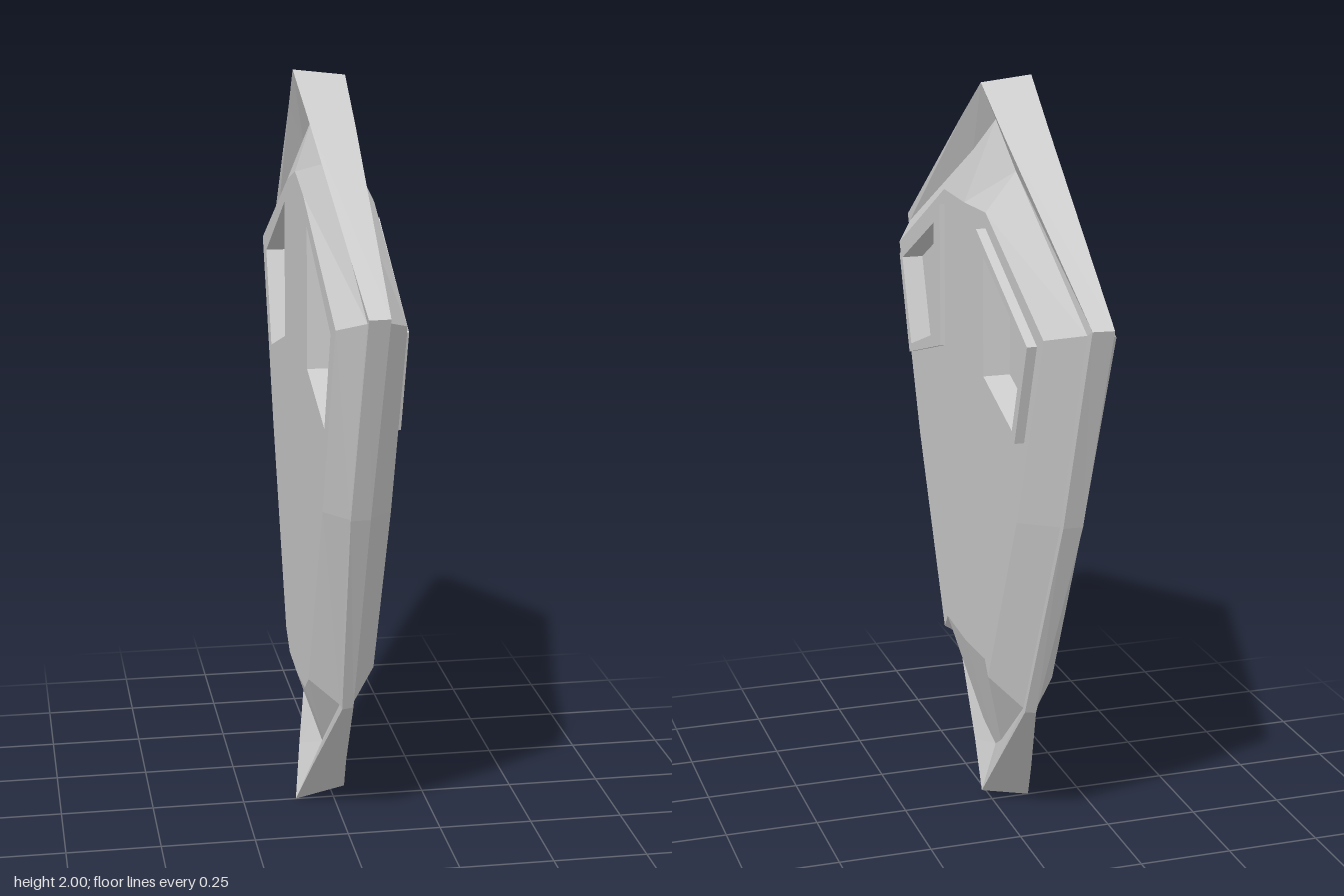
import * as THREE from 'three';

const plating = new THREE.MeshStandardMaterial({ color: 0xcccccc, side: THREE.DoubleSide });
plating.name = 'greyPlating';

// Mirrors a half outline [x, y, z] (top to bottom) into a closed ring
function ring(half) {
  const back = half.slice(1, -1).reverse().map(([x, y, z]) => [x, y, -z]);
  return [...half, ...back];
}

// Flat-shaded strip of faces joining two rings of equal length
function band(a, b) {
  const pos = [];
  a.forEach((p, i) => {
    const j = (i + 1) % a.length;
    pos.push(...p, ...a[j], ...b[j], ...p, ...b[j], ...b[i]);
  });
  const g = new THREE.BufferGeometry();
  g.setAttribute('position', new THREE.Float32BufferAttribute(pos, 3));
  g.computeVertexNormals();
  return g;
}

function add(group, name, geometry) {
  const mesh = new THREE.Mesh(geometry, plating);
  mesh.name = name;
  group.add(mesh);
  return mesh;
}

// Outline in the side plane; side = 1 looks along +x, -1 along -x
const outline = (pts, side) => pts.map(([, y, z]) => new THREE.Vector2(-side * z, y));

function plate(pts, x, side, holes = []) {
  const shape = new THREE.Shape(outline(pts, side));
  holes.forEach(h => shape.holes.push(new THREE.Path(outline(h, side))));
  return new THREE.ShapeGeometry(shape).rotateY(side * Math.PI / 2).translate(x, 0, 0);
}

// Four-sided window outline, front (s = 1) or back (s = -1)
function windowRing(pts, x, s) {
  const r = pts.map(([z, y]) => [x, y, s * z]);
  return s > 0 ? r : r.reverse();
}

export function createModel() {
  const model = new THREE.Group();
  model.name = 'kiteShapedPanel';
  const OUT = 0.075, IN = -0.1;

  // Cross-sections from the inner face, over the rim, to the outer face
  const innerFace = ring([
    [IN, 1.74, 0], [IN, 1.70, 0.14], [IN, 1.46, 0.65], [IN, 0.96, 0.45],
    [IN, 0.43, 0.21], [IN, 0.38, 0.14], [IN, 0.37, 0]]);
  const innerValley = ring([
    [-0.05, 1.89, 0], [-0.05, 1.785, 0.18], [-0.042, 1.495, 0.75], [-0.05, 0.97, 0.56],
    [-0.03, 0.385, 0.29], [-0.04, 0.21, 0.08], [-0.03, 0.165, 0]]);
  const innerLip = ring([
    [-0.105, 2, 0], [-0.09, 1.888, 0.18], [-0.045, 1.51, 0.785], [-0.05, 0.97, 0.573],
    [-0.025, 0.375, 0.30], [-0.08, 0.125, 0.10], [-0.105, 0, 0]]);
  const outerLip = ring([
    [0.03, 1.985, 0], [0.027, 1.875, 0.18], [0.008, 1.51, 0.78], [0, 0.97, 0.57],
    [0.005, 0.378, 0.297], [0.02, 0.145, 0.095], [0.03, 0.03, 0]]);
  const outerValley = ring([
    [-0.01, 1.89, 0], [-0.005, 1.785, 0.18], [0.01, 1.495, 0.75], [0.003, 0.97, 0.557],
    [0.006, 0.387, 0.287], [0, 0.21, 0.08], [-0.01, 0.165, 0]]);
  const outerFace = ring([
    [OUT, 1.68, 0], [OUT, 1.685, 0.18], [OUT, 1.46, 0.63], [OUT, 0.95, 0.435],
    [OUT, 0.45, 0.2], [OUT, 0.49, 0.17], [OUT, 0.48, 0]]);

  add(model, 'innerBevel', band(innerFace, innerValley));
  add(model, 'innerLip', band(innerValley, innerLip));
  add(model, 'rim', band(innerLip, outerLip));
  add(model, 'outerLip', band(outerLip, outerValley));
  add(model, 'outerBevel', band(outerValley, outerFace));

  // Window outlines as [z, y]
  const opening = [[0.24, 1.585], [0.553, 1.43], [0.47, 1.2], [0.24, 1.28]];
  const recess = [[0.2, 1.63], [0.575, 1.435], [0.48, 1.18], [0.2, 1.265]];
  const border = [[0.18, 1.645], [0.583, 1.435], [0.49, 1.172], [0.18, 1.262]];
  const sides = [1, -1];

  // Flat faces pierced by the windows
  add(model, 'outerFace', plate(outerFace, OUT, 1, sides.map(s => windowRing(opening, OUT, s))));
  add(model, 'innerFace', plate(innerFace, IN, -1, sides.map(s => windowRing(recess, IN, s))));

  // Recessed windows with raised frames on the outside
  for (const s of sides) {
    const win = new THREE.Group();
    win.name = s > 0 ? 'frontWindow' : 'backWindow';
    const top = s > 0 ? 0.088 : 0.1;
    const paneOut = 0.03, paneIn = 0;

    const shape = new THREE.Shape(outline(windowRing(border, 0, s), 1));
    shape.holes.push(new THREE.Path(outline(windowRing(opening, 0, s), 1)));
    const frame = new THREE.ExtrudeGeometry(shape, { depth: top - OUT, bevelEnabled: false });
    add(win, 'windowFrame', frame.rotateY(Math.PI / 2).translate(OUT, 0, 0));

    const outerEdge = windowRing(opening, OUT, s);
    const innerEdge = windowRing(recess, IN, s);
    add(win, 'outerReveal', band(outerEdge, windowRing(opening, paneOut, s)));
    add(win, 'innerReveal', band(windowRing(recess, paneIn, s), innerEdge));
    add(win, 'outerPane', plate(outerEdge, paneOut, 1));
    add(win, 'innerPane', plate(innerEdge, paneIn, -1));
    model.add(win);
  }
  return model;
}
